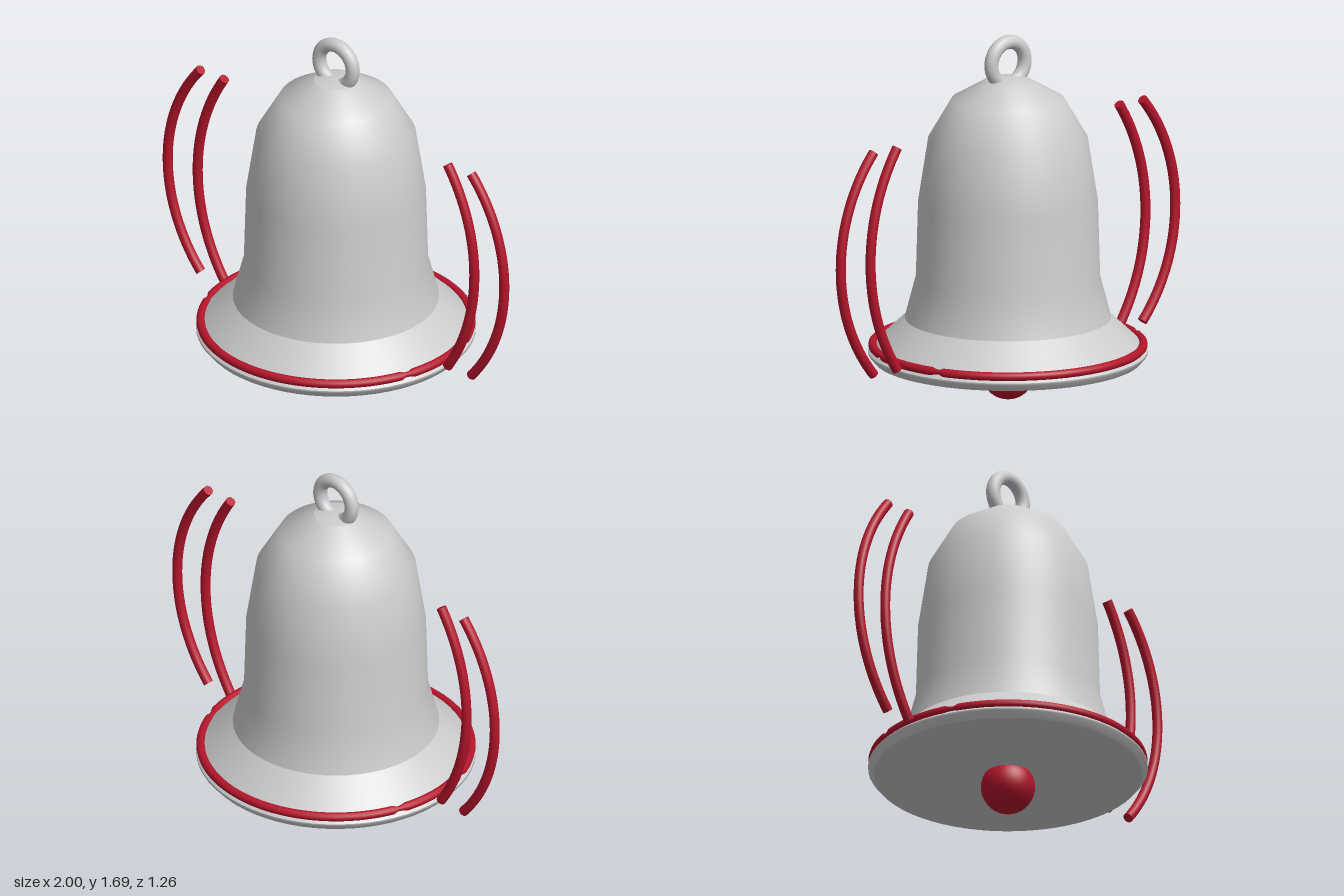
import * as THREE from 'three';

const grey = new THREE.MeshStandardMaterial({ color: 0xcccccc, side: THREE.DoubleSide });
const red = new THREE.MeshStandardMaterial({ color: 0xb5152b, side: THREE.DoubleSide });

function add(parent, name, geometry, material) {
  const mesh = new THREE.Mesh(geometry, material);
  mesh.name = name;
  parent.add(mesh);
  return mesh;
}

// Turned section, profile listed from bottom to top
const lathe = (points) =>
  new THREE.LatheGeometry(points.map(([r, y]) => new THREE.Vector2(r, y)), 64);

// Circular arc bulging outwards on the +x side, centred on height 0.75
class SwingArc extends THREE.Curve {
  constructor(endX, midX, halfHeight) {
    super();
    const sag = midX - endX;
    this.radius = (halfHeight ** 2 + sag ** 2) / (2 * sag);
    this.centre = midX - this.radius;
    this.half = Math.asin(halfHeight / this.radius);
  }
  getPoint(t, target = new THREE.Vector3()) {
    const a = (2 * t - 1) * this.half;
    return target.set(this.centre + this.radius * Math.cos(a), 0.75 + this.radius * Math.sin(a), 0);
  }
}

// Round rod along an arc with flat end caps
function swingLine(name, endX, midX) {
  const group = new THREE.Group();
  group.name = name;
  const arc = new SwingArc(endX, midX, 0.515);
  add(group, 'rod', new THREE.TubeGeometry(arc, 32, 0.023, 12), red);
  for (const t of [0, 1]) {
    const cap = add(group, 'rodEnd', new THREE.CircleGeometry(0.023, 12), red);
    cap.position.copy(arc.getPoint(t));
    const out = arc.getTangent(t).multiplyScalar(t ? 1 : -1);
    cap.quaternion.setFromUnitVectors(new THREE.Vector3(0, 0, 1), out);
  }
  return group;
}

export function createModel() {
  const model = new THREE.Group();
  model.name = 'bell';

  // Bell shell in sections, so the seams between them stay sharp
  add(model, 'crown', lathe([[0.1, 1.48], [0.05, 1.492], [0, 1.495]]), grey);
  add(model, 'body', lathe([
    [0.465, 0.38], [0.415, 0.57], [0.405, 0.92], [0.36, 1.21], [0.255, 1.39], [0.1, 1.48],
  ]), grey);
  add(model, 'flare', lathe([[0.63, 0.225], [0.465, 0.38]]), grey);
  add(model, 'lip', lathe([[0.605, 0.185], [0.63, 0.215], [0.63, 0.225]]), grey);
  add(model, 'base', lathe([[0, 0.185], [0.605, 0.185]]), grey);

  // Hanging loop
  add(model, 'loop', new THREE.TorusGeometry(0.097, 0.032, 16, 40), grey)
    .position.y = 1.557;

  // Coloured rim band, pinched at four joints beside the swing lines
  const band = new THREE.TorusGeometry(0.609, 0.02, 12, 180);
  const p = band.attributes.position;
  for (let i = 0; i < p.count; i++) {
    const x = p.getX(i), y = p.getY(i);
    const joint = Math.abs(Math.atan2(Math.abs(y), Math.abs(x)) - 0.335);
    const k = joint < 0.05 ? 0.4 + 12 * joint : 1;
    const r = Math.hypot(x, y);
    const s = (0.609 + (r - 0.609) * k) / r;
    p.setXYZ(i, x * s, y * s, p.getZ(i) * k);
  }
  band.rotateX(Math.PI / 2);
  add(model, 'rimBand', band, red).position.y = 0.252;

  // Clapper
  add(model, 'clapper', new THREE.SphereGeometry(0.122, 32, 20), red).position.y = 0.122;

  // Swing lines on both sides
  for (const [side, turn] of [['left', 0], ['right', Math.PI]]) {
    const pair = new THREE.Group();
    pair.name = side + 'SwingLines';
    pair.add(swingLine('innerLine', 0.648, 0.803), swingLine('outerLine', 0.785, 0.977));
    pair.rotation.y = turn;
    model.add(pair);
  }
  return model;
}
